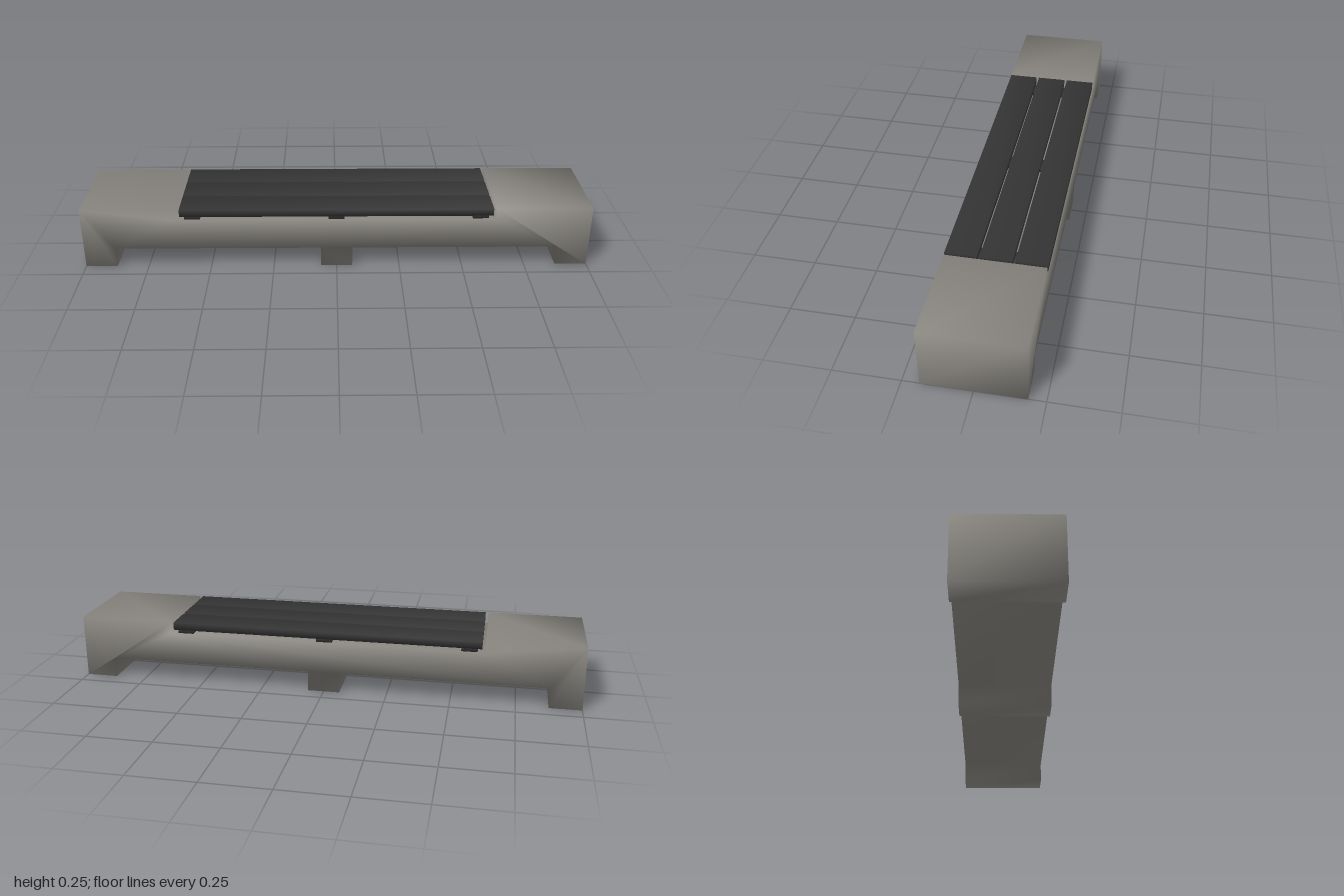
import * as THREE from 'three';
import { mergeVertices } from 'three/addons/utils/BufferGeometryUtils.js';

const DEPTH = 0.374;

// Share corner vertices so the shading runs softly across the edges
function soften(geometry) {
  geometry.deleteAttribute('normal');
  geometry.deleteAttribute('uv');
  const merged = mergeVertices(geometry, 1e-4);
  merged.clearGroups();
  merged.computeVertexNormals();
  return merged;
}

export function createModel() {
  const bench = new THREE.Group();
  bench.name = 'bench';

  const concrete = new THREE.MeshStandardMaterial({ color: 0x85827c });
  concrete.name = 'concrete grey';
  const charcoal = new THREE.MeshStandardMaterial({ color: 0x333333 });
  charcoal.name = 'charcoal';

  function add(name, geometry, material, x = 0, y = 0, z = 0) {
    const mesh = new THREE.Mesh(soften(geometry), material);
    mesh.name = name;
    mesh.position.set(x, y, z);
    bench.add(mesh);
  }

  // Concrete base: right half of the outline, mirrored to the left
  const half = [
    [0.0625, 0], [0.0625, 0.08], [0.875, 0.08], [0.875, 0],
    [1, 0], [1, 0.25], [0.625, 0.25], [0.625, 0.205],
  ];
  const outline = [...half, ...half.map(([x, y]) => [-x, y]).reverse()];
  const shape = new THREE.Shape(outline.map(([x, y]) => new THREE.Vector2(x, y)));
  const base = new THREE.ExtrudeGeometry(shape, { depth: DEPTH, bevelEnabled: false });
  base.translate(0, 0, -DEPTH / 2);
  add('base', base, concrete);

  // Cross bearers under the seat
  for (const x of [-0.565, 0, 0.565]) {
    add('bearer', new THREE.BoxGeometry(0.062, 0.017, 0.36), charcoal, x, 0.2125);
  }

  // Three long seat slats
  for (const z of [-0.1285, 0, 0.1285]) {
    add('seatSlat', new THREE.BoxGeometry(1.226, 0.03, 0.117), charcoal, 0, 0.235, z);
  }

  return bench;
}
